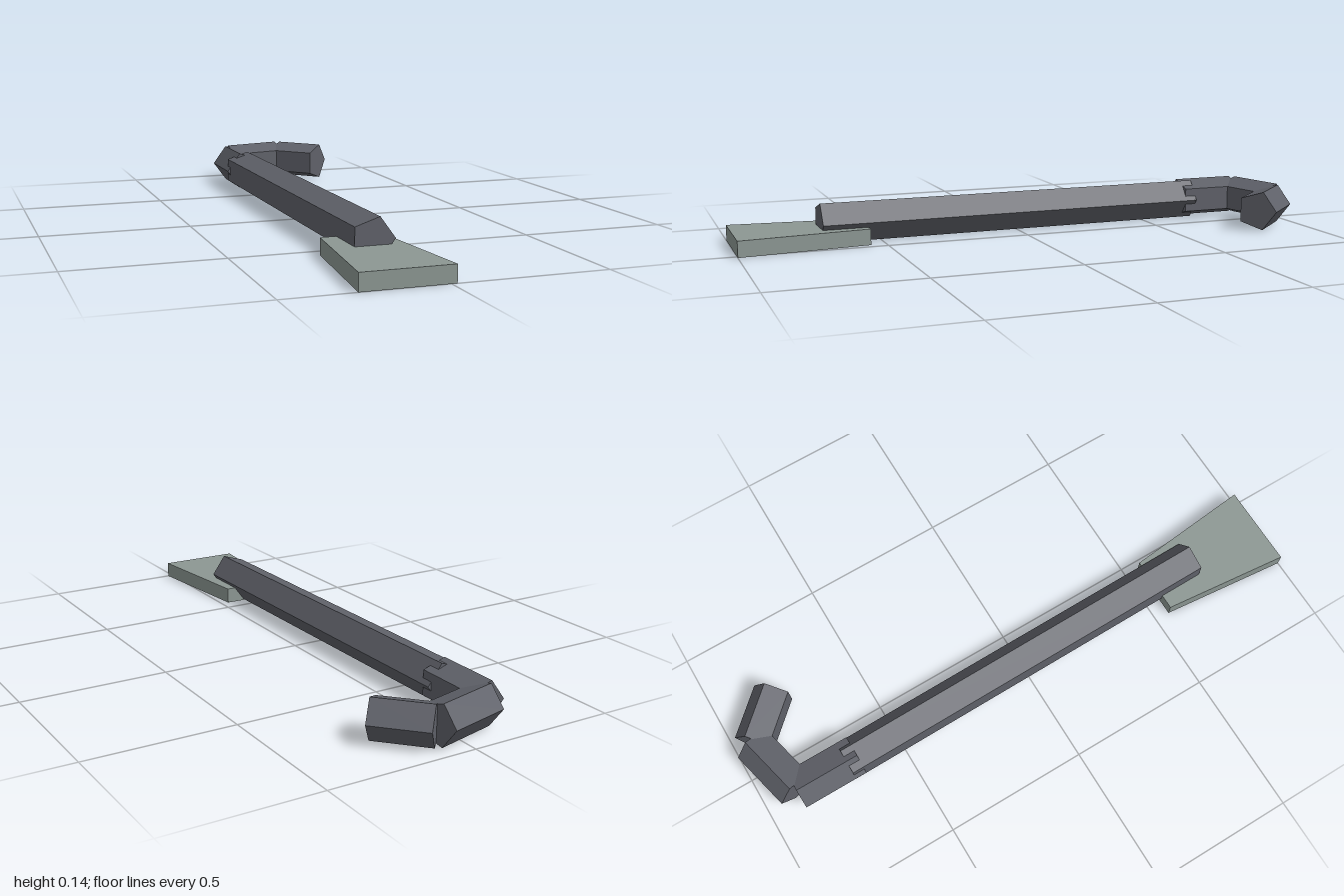
import * as THREE from 'three';

const RADIUS = 0.0717, AXIS_Y = 0.072;

// Five-sided bar between two [x, z] points; corner = [x, z] direction its sharp corner faces
function pentagonBar(name, from, to, corner, material) {
  const a = new THREE.Vector3(from[0], AXIS_Y, from[1]);
  const b = new THREE.Vector3(to[0], AXIS_Y, to[1]);
  const along = b.clone().sub(a);
  const length = along.length();
  along.normalize();
  const out = new THREE.Vector3(corner[0], 0, corner[1]);
  out.addScaledVector(along, -out.dot(along)).normalize();
  const side = new THREE.Vector3().crossVectors(along, out);
  const geometry = new THREE.CylinderGeometry(RADIUS, RADIUS, length, 5);
  geometry.applyMatrix4(new THREE.Matrix4().makeBasis(side, along, out));
  const mesh = new THREE.Mesh(geometry, material);
  mesh.position.addVectors(a, b).multiplyScalar(0.5);
  mesh.name = name;
  return mesh;
}

export function createModel() {
  const group = new THREE.Group();
  group.name = 'pryBar';
  const darkSteel = new THREE.MeshStandardMaterial({ color: 0x5f6169, flatShading: true });
  darkSteel.name = 'darkSteel';
  const paleSteel = new THREE.MeshStandardMaterial({ color: 0x8c9793, flatShading: true });
  paleSteel.name = 'paleSteel';

  // Long shaft, then three short lengths bending round into the hook
  group.add(
    pentagonBar('shaft', [-0.117, 0.71], [-0.128, -0.695], [1, 0], darkSteel),
    pentagonBar('hookNeck', [-0.125, -0.655], [-0.125, -0.882], [-1, 0], darkSteel),
    pentagonBar('hookBend', [-0.126, -0.877], [0.089, -0.93], [-0.243, -0.97], darkSteel),
    pentagonBar('hookTip', [0.087, -0.928], [0.218, -0.787], [0.735, -0.68], darkSteel),
  );

  // Flared flat blade, drawn in plan and raised to its thickness
  const plan = new THREE.Shape([
    [-0.273, -1], [0.018, -1], [-0.028, -0.553], [-0.228, -0.553],
  ].map(([x, y]) => new THREE.Vector2(x, y)));
  const bladeGeometry = new THREE.ExtrudeGeometry(plan, { depth: 0.055, bevelEnabled: false });
  bladeGeometry.rotateX(-Math.PI / 2);
  const blade = new THREE.Mesh(bladeGeometry, paleSteel);
  blade.name = 'blade';
  group.add(blade);
  return group;
}
